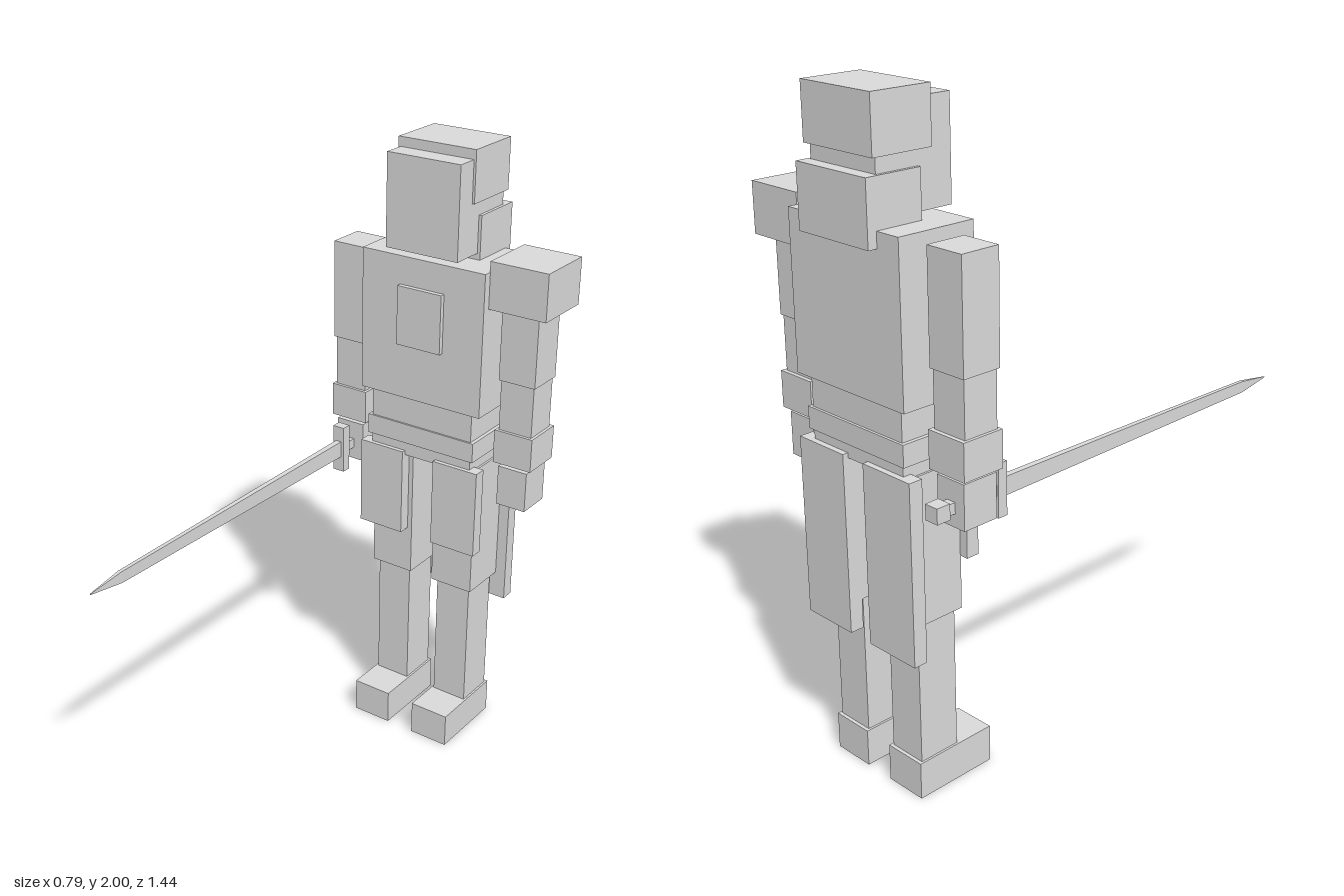
import * as THREE from 'three';

export function createModel() {
  const model = new THREE.Group();
  model.name = 'blockWarrior';
  const grey = new THREE.MeshStandardMaterial({ color: 0xdbdbdb });
  grey.name = 'lightGrey';

  // The body's axis of symmetry lies slightly to its right, the sword side
  const body = new THREE.Group();
  body.name = 'body';
  body.position.x = -0.018;
  model.add(body);

  // Box centred at x, spanning y0..y1 and z0 (back)..z1 (front)
  function box(parent, name, x, width, y0, y1, z0, z1) {
    const mesh = new THREE.Mesh(new THREE.BoxGeometry(width, y1 - y0, z1 - z0), grey);
    mesh.name = name;
    mesh.position.set(x, (y0 + y1) / 2, (z0 + z1) / 2);
    parent.add(mesh);
  }

  // Head
  box(body, 'head', 0, 0.255, 1.68, 1.97, -0.68, -0.432);
  box(body, 'helmetCap', 0, 0.27, 1.84, 2.0, -0.695, -0.502);
  box(body, 'napeGuard', 0, 0.275, 1.615, 1.797, -0.72, -0.543);

  // Trunk
  box(body, 'torso', 0, 0.438, 1.2, 1.66, -0.692, -0.442);
  box(body, 'chestPlate', 0, 0.158, 1.38, 1.57, -0.45, -0.426);
  box(body, 'waist', 0, 0.37, 0.995, 1.2, -0.672, -0.456);
  box(body, 'belt', 0, 0.394, 1.04, 1.105, -0.68, -0.45);

  // Paired limbs and skirt plates
  for (const [side, s] of [['left', 1], ['right', -1]]) {
    const arm = new THREE.Group();
    arm.name = side + 'Arm';
    body.add(arm);
    box(arm, 'upperArm', s * 0.31, 0.125, 1.315, 1.635, -0.627, -0.502);
    box(arm, 'forearm', s * 0.31, 0.114, 1.04, 1.315, -0.621, -0.508);
    box(arm, 'cuff', s * 0.31, 0.133, 1.04, 1.15, -0.634, -0.498);
    box(arm, 'hand', s * 0.31, 0.101, 0.895, 1.027, -0.621, -0.506);

    const leg = new THREE.Group();
    leg.name = side + 'Leg';
    body.add(leg);
    box(leg, 'thigh', s * 0.117, 0.15, 0.555, 1.0, -0.646, -0.482);
    box(leg, 'shin', s * 0.117, 0.122, 0.11, 0.56, -0.632, -0.498);
    box(leg, 'foot', s * 0.117, 0.136, 0, 0.115, -0.643, -0.373);

    box(body, side + 'FrontSkirt', s * 0.139, 0.162, 0.717, 1.01, -0.484, -0.442);
    box(body, side + 'BackSkirt', s * 0.135, 0.187, 0.465, 1.01, -0.69, -0.646);
  }

  // Single shoulder guard
  box(body, 'leftShoulderGuard', 0.315, 0.195, 1.545, 1.693, -0.665, -0.469);

  // Sword held forward in the right hand
  const sword = new THREE.Group();
  sword.name = 'sword';
  sword.position.set(-0.329, 0.951, 0);
  model.add(sword);
  box(sword, 'pommel', 0, 0.045, -0.023, 0.023, -0.69, -0.645);
  box(sword, 'grip', 0, 0.03, -0.016, 0.016, -0.65, -0.465);
  box(sword, 'guard', 0, 0.042, -0.079, 0.079, -0.472, -0.44);

  // Blade: box narrowing towards a point; rows are z, width, height
  const sections = [[-0.445, 0.02, 0.055], [0.6, 0.012, 0.036], [0.72, 0.002, 0.003]];
  let blade = new THREE.BoxGeometry(1, 1, 2, 1, 1, 2);
  const p = blade.attributes.position;
  for (let i = 0; i < p.count; i++) {
    const [z, w, h] = sections[Math.round(p.getZ(i)) + 1];
    p.setXYZ(i, p.getX(i) * w, p.getY(i) * h, z);
  }
  blade = blade.toNonIndexed();
  blade.computeVertexNormals();
  const bladeMesh = new THREE.Mesh(blade, grey);
  bladeMesh.name = 'blade';
  sword.add(bladeMesh);

  return model;
}
